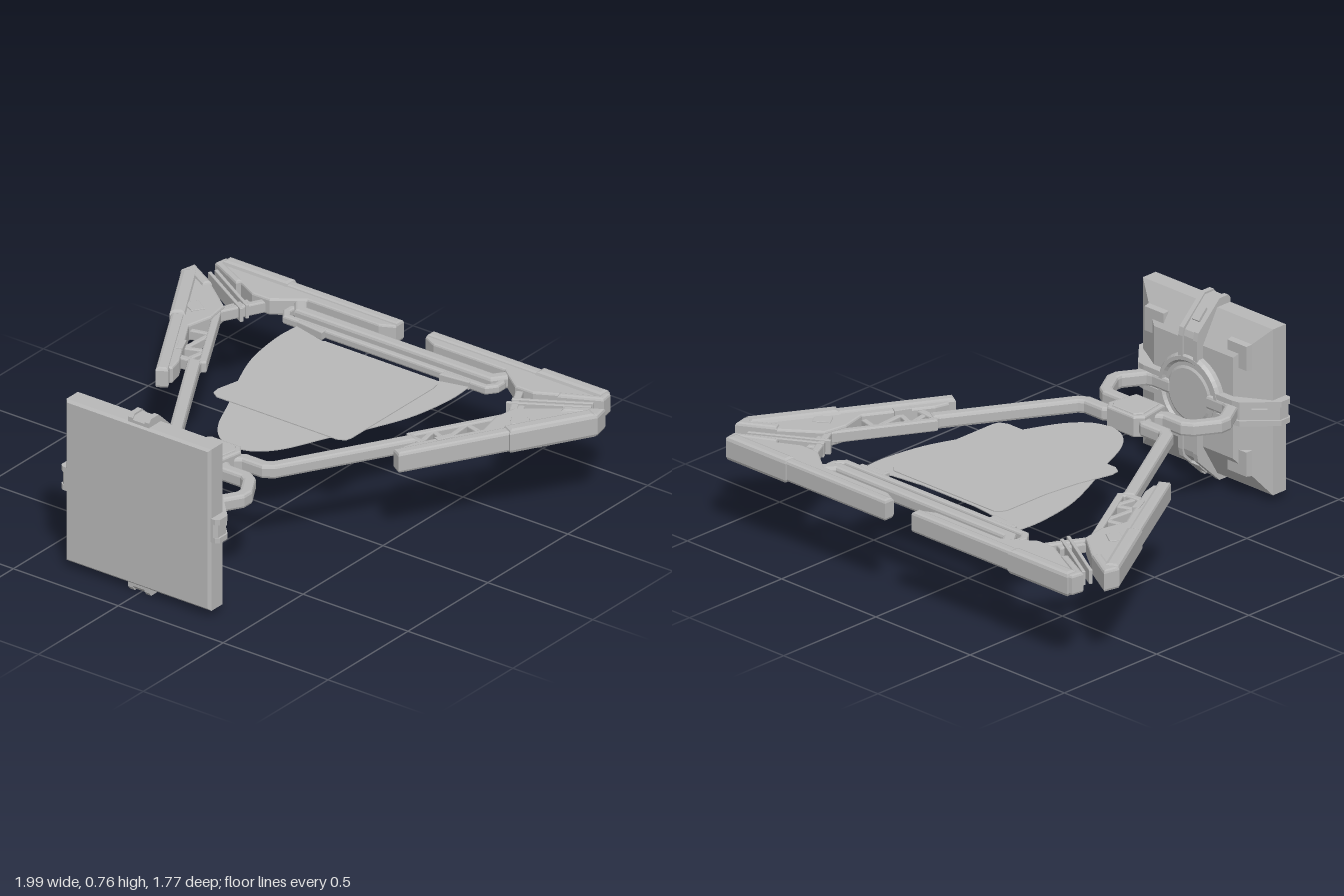
import * as THREE from 'three';

const MID = 0.38; // height of the frame's centre plane

export function createModel() {
  const root = new THREE.Group();
  const grey = new THREE.MeshStandardMaterial({ color: 0xb8b8b8 });
  grey.name = 'grey';

  const add = (name, geo, parent = root) => {
    const m = new THREE.Mesh(geo, grey);
    m.name = name;
    parent.add(m);
    return m;
  };

  // Horizontal slab from [x, z] outline between two heights, with bevelled rims
  function slab(points, y0, y1, b = 0.008, holes = []) {
    const v = (p) => p.map(([x, z]) => new THREE.Vector2(x, -z));
    const shape = new THREE.Shape(v(points));
    shape.holes = holes.map((h) => new THREE.Path(v(h)));
    const geo = new THREE.ExtrudeGeometry(shape, {
      depth: y1 - y0 - 2 * b, bevelEnabled: b > 0, bevelThickness: b,
      bevelSize: b, bevelOffset: -b, bevelSegments: 2,
    });
    return geo.rotateX(-Math.PI / 2).translate(0, y0 + b, 0);
  }

  // Bar of constant width along an [x, z] path, with mitred corners
  function bar(path, width, y0, y1, b = 0.012) {
    const p = path.map(([x, z]) => new THREE.Vector2(x, z));
    const left = [], right = [];
    p.forEach((c, i) => {
      const d1 = (i > 0 ? c.clone().sub(p[i - 1]) : p[1].clone().sub(c)).normalize();
      const d2 = (i < p.length - 1 ? p[i + 1].clone().sub(c) : d1.clone()).normalize();
      const n1 = new THREE.Vector2(-d1.y, d1.x), n2 = new THREE.Vector2(-d2.y, d2.x);
      const m = n1.clone().add(n2).normalize();
      m.multiplyScalar(width / 2 / m.dot(n1));
      left.push([c.x + m.x, c.y + m.y]);
      right.unshift([c.x - m.x, c.y - m.y]);
    });
    return slab([...left, ...right], y0, y1, b);
  }

  // Square block tapering along z
  function taper(zBack, halfBack, zFront, halfFront) {
    const g = new THREE.CylinderGeometry(halfFront * Math.SQRT2, halfBack * Math.SQRT2, zFront - zBack, 4)
      .rotateY(Math.PI / 4).rotateX(Math.PI / 2).translate(0, 0, (zFront + zBack) / 2).toNonIndexed();
    g.computeVertexNormals();
    return g;
  }

  // ---- Front panel with tapered back ----
  const panel = new THREE.Group();
  panel.name = 'frontPanel';
  panel.position.y = MID;
  root.add(panel);
  add('panelFace', taper(0.87, 0.345, 0.88, 0.335), panel);
  add('panelBody', taper(0.8, 0.345, 0.87, 0.345), panel);
  add('panelBack', taper(0.722, 0.21, 0.8, 0.345), panel);

  // Straps wrapping each of the four edges
  const strap = (grow, width, offset) => {
    const s = new THREE.Shape([
      [0.34, 0.872], [0.355 + grow, 0.872], [0.37 + grow, 0.86], [0.37 + grow, 0.812],
      [0.26 + grow, 0.705 - grow], [0.235, 0.698 - grow], [0.14, 0.698 - grow],
      [0.14, 0.74], [0.2, 0.74], [0.34, 0.82],
    ].map(([x, y]) => new THREE.Vector2(x, y)));
    return new THREE.ExtrudeGeometry(s, { depth: width, bevelEnabled: false })
      .translate(0, 0, offset - width / 2).rotateX(Math.PI / 2);
  };
  for (let k = 0; k < 4; k++) {
    const g = new THREE.Group();
    g.name = 'strap';
    g.rotation.z = k * Math.PI / 2;
    panel.add(g);
    add('strapBand', strap(0, 0.1, 0), g);
    for (const s of [-1, 1]) add('strapRib', strap(0.008, 0.022, s * 0.039), g);
    const pad = add('strapPad', new THREE.BoxGeometry(0.06, 0.04, 0.02), g);
    pad.position.set(0.315, 0, 0.757);
    pad.rotation.y = -Math.PI / 4;
    // Raised corner pad
    const c = add('cornerPad', taper(0.733, 0.05, 0.79, 0.058), g);
    c.position.set(0.22, 0.22, 0);
  }

  // Round hub on the panel's back
  const disc = add('backDisc', new THREE.LatheGeometry([
    [0.165, 0], [0.165, 0.02], [0.155, 0.033], [0.14, 0.033], [0.13, 0.022],
    [0.115, 0.022], [0.105, 0.028], [0, 0.028],
  ].map(([x, y]) => new THREE.Vector2(x, y)), 40), panel);
  disc.geometry = disc.geometry.toNonIndexed();
  disc.geometry.computeVertexNormals();
  disc.rotation.x = -Math.PI / 2;
  disc.position.z = 0.722;

  // ---- Central hub ----
  add('hub', slab([[-0.07, 0.325], [0.07, 0.325], [0.098, 0.36], [0.075, 0.49], [-0.075, 0.49], [-0.098, 0.36]], 0.34, 0.428));
  add('hubCap', slab([[-0.055, 0.34], [0.055, 0.34], [0.08, 0.37], [0.06, 0.475], [-0.06, 0.475], [-0.08, 0.37]], 0.335, 0.433, 0.004));

  // ---- Mirrored side parts ----
  for (const s of [1, -1]) {
    const side = new THREE.Group();
    side.name = s > 0 ? 'leftSide' : 'rightSide';
    root.add(side);
    const m = (pts) => pts.map(([x, z]) => [s * x, z]);

    // Loop from hub to panel
    add('panelLoop', bar(m([[0.06, 0.435], [0.105, 0.465], [0.2, 0.465], [0.232, 0.485], [0.282, 0.57],
      [0.282, 0.605], [0.225, 0.7], [0.19, 0.712], [0.1, 0.712]]), 0.05, 0.352, 0.41), side);
    // Long arm, carried on as the inner rail of the truss
    add('arm', bar(m([[0.06, 0.385], [0.11, 0.355], [0.205, 0.355], [0.235, 0.335], [0.525, -0.165]]), 0.052, 0.353, 0.41), side);
    add('trussRail', bar(m([[0.515, -0.16], [0.495, -0.18], [0.7, -0.54], [0.61, -0.71]]), 0.03, 0.357, 0.405, 0.006), side);
    add('trussBase', bar(m([[0.49, -0.165], [0.6, -0.155]]), 0.03, 0.357, 0.405, 0.006), side);
    for (const [a, b] of [[[0.54, -0.26], [0.62, -0.23]], [[0.62, -0.23], [0.61, -0.38]], [[0.61, -0.38], [0.69, -0.36]], [[0.54, -0.26], [0.56, -0.15]]])
      add('trussBrace', bar(m([a, b]), 0.022, 0.36, 0.4, 0.004), side);

    // Side armour: core, outer rim, corner cap and inlays
    add('sideArmour', slab(m([[0.575, -0.01], [0.54, -0.05], [0.555, -0.11], [0.7, -0.36], [0.675, -0.47],
      [0.69, -0.57], [0.84, -0.685], [0.965, -0.74], [0.985, -0.72]]), 0.345, 0.415), side);
    add('sideRim', bar(m([[0.558, -0.005], [0.79, -0.409]]), 0.05, 0.336, 0.423), side);
    add('sideCap', bar(m([[0.785, -0.4], [0.965, -0.71]]), 0.062, 0.33, 0.43, 0.016), side);
    add('sideCapHook', bar(m([[0.975, -0.69], [0.965, -0.733], [0.845, -0.665]]), 0.04, 0.335, 0.425, 0.012), side);
    add('armourInlay', slab(m([[0.73, -0.5], [0.79, -0.54], [0.82, -0.49], [0.76, -0.455]]), 0.341, 0.419, 0.002), side);
    add('armourInlay', slab(m([[0.6, -0.19], [0.625, -0.18], [0.655, -0.24], [0.63, -0.255]]), 0.341, 0.419, 0.002), side);

    // Ridges across the gap at the rear corner
    add('cornerLink', bar(m([[0.69, -0.58], [0.65, -0.68]]), 0.05, 0.36, 0.4, 0.006), side);
    add('cornerRidge', bar(m([[0.63, -0.6], [0.69, -0.635], [0.91, -0.765]]), 0.014, 0.35, 0.41, 0.003), side);
    add('cornerRidge', bar(m([[0.63, -0.635], [0.7, -0.675], [0.9, -0.793]]), 0.014, 0.35, 0.41, 0.003), side);

    // Rear armour: core, rim and corner cap
    add('rearArmour', slab(m([[0.07, -0.875], [0.07, -0.83], [0.13, -0.8], [0.47, -0.8], [0.585, -0.715],
      [0.67, -0.715], [0.9, -0.835], [0.9, -0.875]]), 0.345, 0.415), side);
    add('rearRim', bar(m([[0.07, -0.857], [0.61, -0.857]]), 0.045, 0.336, 0.423), side);
    add('rearCap', bar(m([[0.59, -0.86], [0.905, -0.86]]), 0.056, 0.33, 0.43, 0.016), side);
    add('rearCapHook', bar(m([[0.88, -0.865], [0.905, -0.862], [0.91, -0.83], [0.76, -0.755]]), 0.03, 0.338, 0.422, 0.01), side);
    add('sheetClip', slab(m([[0.28, -0.675], [0.28, -0.64], [0.41, -0.655], [0.41, -0.675]]), 0.365, 0.4, 0.004), side);
  }

  // ---- Rear cross bars ----
  add('rearCrossBar', bar([[-0.5, -0.8], [-0.455, -0.74], [0.455, -0.74], [0.5, -0.8]], 0.05, 0.353, 0.408));
  add('rearLoopBar', bar([[-0.475, -0.775], [-0.5, -0.74], [-0.5, -0.71], [-0.475, -0.677], [0.475, -0.677],
    [0.5, -0.71], [0.5, -0.74], [0.475, -0.775]], 0.03, 0.363, 0.398, 0.008));

  // ---- Thin sheets ----
  const half = new THREE.SplineCurve([[0.41, -0.655], [0.415, -0.53], [0.385, -0.34], [0.315, -0.16], [0.235, 0],
    [0.16, 0.165], [0.085, 0.25], [0, 0.28]].map(([x, z]) => new THREE.Vector2(x, z)))
    .getPoints(36).map((p) => [p.x, p.y]);
  const mirrored = half.slice(0, -1).reverse().map(([x, z]) => [-x, z]);
  add('largeSheet', slab([...half, ...mirrored, [-0.28, -0.622], [-0.14, -0.605], [0.14, -0.605], [0.28, -0.622]], 0.376, 0.38, 0));
  add('smallSheet', slab([[-0.24, -0.605], [0.29, -0.605], [0.315, -0.585], [0.322, -0.55], [0.322, -0.04], [0.315, -0.01],
    [0.28, 0.005], [-0.29, 0.005], [-0.32, -0.015], [-0.325, -0.05], [-0.29, -0.2], [-0.272, -0.36], [-0.272, -0.56],
    [-0.262, -0.59]], 0.388, 0.392, 0));

  return root;
}
